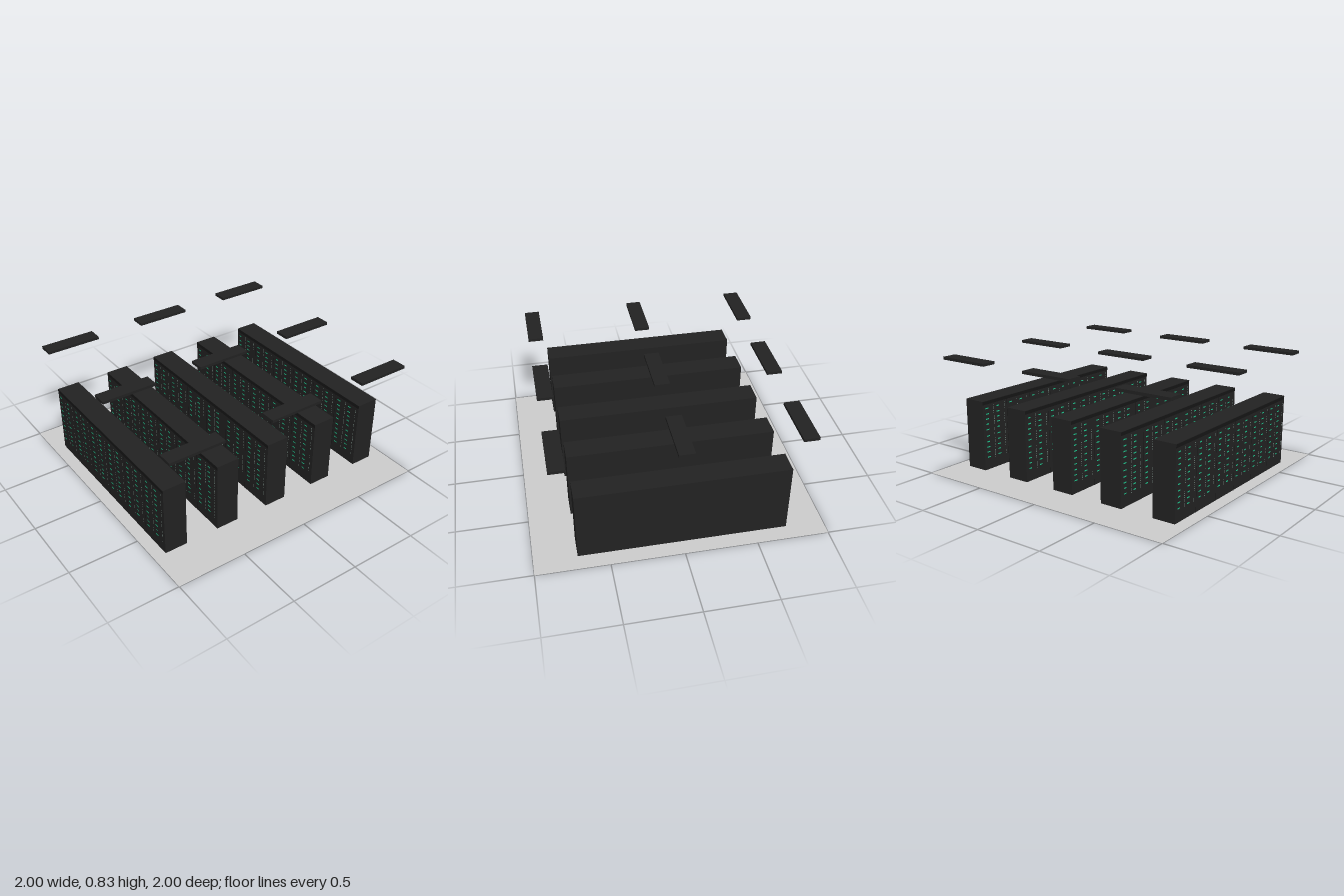
import * as THREE from 'three';
import { mergeGeometries } from 'three/addons/utils/BufferGeometryUtils.js';

const mat = (name, color, side = THREE.FrontSide) => {
  const m = new THREE.MeshStandardMaterial({ color, side });
  m.name = name;
  return m;
};

export function createModel() {
  const charcoal = mat('charcoal', 0x222222);
  const black = mat('black trim', 0x161616);
  const green = mat('green light', 0x1fc88f);
  const pale = mat('pale light', 0xa9c9bd);
  const grey = mat('pale grey', 0xcccccc, THREE.DoubleSide);

  const model = new THREE.Group();
  model.name = 'serverRoom';

  const add = (parent, name, geometry, material) => {
    const mesh = new THREE.Mesh(geometry, material);
    mesh.name = name;
    parent.add(mesh);
    return mesh;
  };
  // box given by its centre and size
  const box = (x, y, z, w, h, d) => new THREE.BoxGeometry(w, h, d).translate(x, y, z);
  const plate = (x, y, z, w, h) => new THREE.PlaneGeometry(w, h).translate(x, y, z);

  // Floor sheet
  add(model, 'floor', new THREE.PlaneGeometry(2, 2).rotateX(-Math.PI / 2), grey);

  // Rack rows: six cabinets side by side, lights on the front only
  const left = -0.735, cabinet = 0.24, height = 0.515, depth = 0.165;
  const front = depth / 2;
  const dashRows = [0.46, 0.418, 0.381, 0.343, 0.302, 0.254, 0.211, 0.171, 0.134, 0.095];
  const bodies = [], trims = [], dashes = [], dots = [];
  for (let i = 0; i < 6; i++) {
    const x = left + i * cabinet;
    bodies.push(box(x + cabinet / 2, height / 2 + 0.001, 0, cabinet, height - 0.002, depth));
    trims.push(plate(x + cabinet / 2, 0.501, front + 0.001, cabinet, 0.024));
    if (i > 0) trims.push(plate(x, 0.245, front + 0.001, 0.003, 0.488));
    for (const column of [0.04, 0.147]) {
      for (const y of dashRows) {
        dashes.push(plate(x + column, y, front + 0.002, 0.028, 0.008));
        // Small status dots beside every dash
        for (const dy of [-0.012, 0, 0.012]) {
          dots.push(plate(x + column + 0.065, y + dy, front + 0.002, 0.004, 0.005));
        }
      }
    }
  }
  const rowParts = [
    ['cabinets', mergeGeometries(bodies), charcoal],
    ['cabinetTrim', mergeGeometries(trims), black],
    ['serverLights', mergeGeometries(dashes), green],
    ['statusDots', mergeGeometries(dots), pale],
  ];
  for (let i = 0; i < 5; i++) {
    const row = new THREE.Group();
    row.name = 'rackRow';
    row.position.z = -0.806 + i * 0.409;
    for (const part of rowParts) add(row, ...part);
    model.add(row);
  }

  // Ceiling lamps: shallow open housings with a pale panel inside
  const w = 0.107, h = 0.02, d = 0.4, wall = 0.006;
  const housing = mergeGeometries([
    box(0, h / 2 - 0.002, 0, w, 0.004, d),
    box(-(w - wall) / 2, -0.002, 0, wall, h - 0.004, d),
    box((w - wall) / 2, -0.002, 0, wall, h - 0.004, d),
    box(0, -0.002, -(d - wall) / 2, w - 2 * wall, h - 0.004, wall),
    box(0, -0.002, (d - wall) / 2, w - 2 * wall, h - 0.004, wall),
  ]);
  const panel = new THREE.PlaneGeometry(w - 2 * wall, d - 2 * wall).rotateX(Math.PI / 2).translate(0, 0.004, 0);
  for (const x of [-0.797, -0.001, 0.796]) {
    for (const z of [-0.775, -0.015, 0.745]) {
      const lamp = new THREE.Group();
      lamp.name = 'ceilingLamp';
      lamp.position.set(x, 0.82, z);
      add(lamp, 'lampHousing', housing, charcoal);
      add(lamp, 'lampPanel', panel, grey);
      model.add(lamp);
    }
  }
  return model;
}
